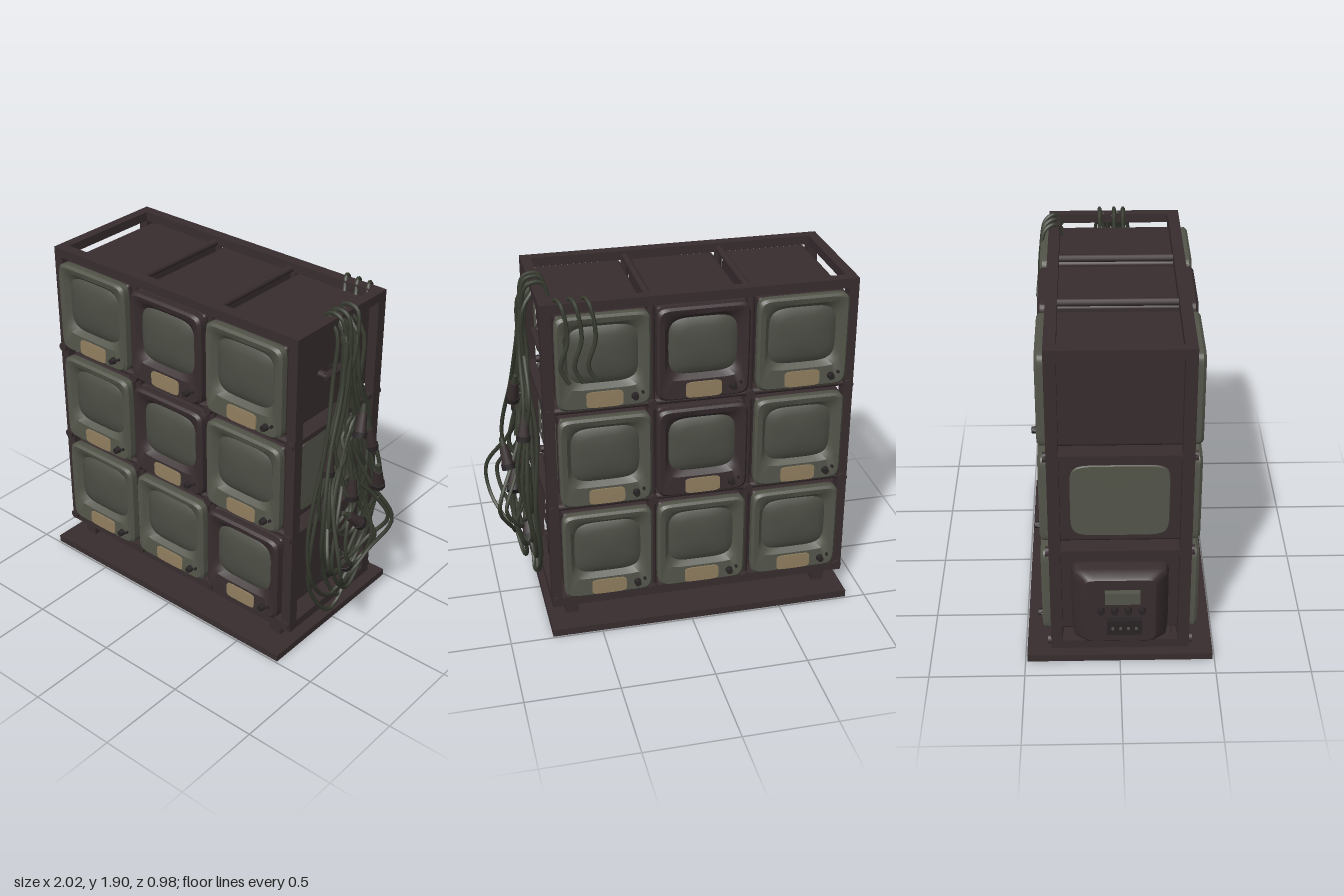
import * as THREE from 'three';
import { toCreasedNormals } from 'three/addons/utils/BufferGeometryUtils.js';
import { RoundedBoxGeometry } from 'three/addons/geometries/RoundedBoxGeometry.js';

const paint = (name, color) => {
  const m = new THREE.MeshStandardMaterial({ color });
  m.name = name;
  return m;
};

// Skin over superellipse rings [width, height, centreY, z, squareness], outer/back ring first
function loft(rings, seg = 48) {
  const pos = [], idx = [];
  const bend = (v, n) => Math.sign(v) * Math.abs(v) ** (2 / n);
  for (const [w, h, cy, z, n] of rings) {
    for (let i = 0; i < seg; i++) {
      const a = (i / seg) * Math.PI * 2;
      pos.push(bend(Math.cos(a), n) * w / 2, cy + bend(Math.sin(a), n) * h / 2, z);
    }
  }
  for (let r = 0; r < rings.length - 1; r++) {
    for (let i = 0; i < seg; i++) {
      const j = (i + 1) % seg, a = r * seg + i, b = r * seg + j;
      idx.push(a, b, b + seg, a, b + seg, a + seg);
    }
  }
  const g = new THREE.BufferGeometry();
  g.setAttribute('position', new THREE.Float32BufferAttribute(pos, 3));
  g.setIndex(idx);
  return toCreasedNormals(g, 0.6);
}

export function createModel() {
  const root = new THREE.Group();
  root.name = 'televisionWall';
  const dark = paint('dark brown metal', 0x382d2f);
  const green = paint('grey green casing', 0x53554a);
  const glass = paint('screen glass', 0x4c4e45);
  const tan = paint('tan label', 0x917f60);
  const cord = paint('cable green', 0x383c30);
  const black = paint('dark fittings', 0x292425);

  const add = (name, geo, mat, x = 0, y = 0, z = 0, parent = root) => {
    const m = new THREE.Mesh(geo, mat);
    m.name = name;
    m.position.set(x, y, z);
    parent.add(m);
    return m;
  };
  const box = (name, mat, x, y, z, w, h, d, parent) =>
    add(name, new THREE.BoxGeometry(w, h, d), mat, x, y, z, parent);

  // Base plate and feet
  box('basePlate', dark, -0.06, 0.02, 0, 1.66, 0.04, 0.98);
  for (const x of [-0.77, 0.64]) for (const z of [-0.31, 0.31])
    box('foot', dark, x, 0.075, z, 0.07, 0.07, 0.07);

  // Rack: corner posts, rails, slim dividers and joint bolts
  const pipe = (name, x, y, z, len, axis) => {
    const m = add(name, new THREE.CylinderGeometry(0.02, 0.02, len, 10), dark, x, y, z);
    if (axis === 'x') m.rotation.z = Math.PI / 2;
    if (axis === 'z') m.rotation.x = Math.PI / 2;
  };
  const bolt = new THREE.CylinderGeometry(0.025, 0.025, 0.035, 10).rotateX(Math.PI / 2);
  for (const z of [-0.33, 0.33]) {
    for (const x of [-0.873, 0.72]) box('cornerPost', dark, x, 0.985, z, 0.055, 1.77, 0.06);
    for (const y of [0.125, 1.845]) box('longRail', dark, -0.075, y, z, 1.64, 0.05, 0.06);
    for (const x of [-0.335, 0.185]) pipe('divider', x, 0.985, z, 1.72, 'y');
    for (const y of [0.71, 1.275]) pipe('crossRail', -0.075, y, z, 1.64, 'x');
    for (const x of [-0.873, -0.335, 0.185, 0.72]) for (const y of [0.14, 0.71, 1.275])
      add('jointBolt', bolt, dark, x, y, z * 1.09);
  }
  for (const x of [-0.873, 0.72]) {
    for (const y of [0.125, 1.845]) box('endRail', dark, x, y, 0, 0.055, 0.05, 0.66);
    for (const y of [0.71, 1.275]) box('endCrossRail', dark, x, y, 0, 0.045, 0.03, 0.74);
  }
  for (const x of [-0.335, 0.185]) for (const y of [0.125, 0.71, 1.275, 1.835])
    pipe('depthRail', x, y, 0, 0.66, 'z');

  // Television parts, shared by every set
  const bodyGeo = new RoundedBoxGeometry(0.47, 0.5, 0.71, 2, 0.02);
  const bezelGeo = loft([
    [0.47, 0.5, 0, 0.345, 12], [0.485, 0.51, 0, 0.355, 12], [0.485, 0.51, 0, 0.39, 12],
    [0.462, 0.488, 0, 0.404, 11], [0.405, 0.36, 0.035, 0.398, 7], [0.36, 0.31, 0.035, 0.37, 4.5],
  ]);
  const screenGeo = loft([
    [0.37, 0.32, 0.035, 0.366, 4.5], [0.34, 0.29, 0.035, 0.378, 4.2], [0.26, 0.22, 0.035, 0.39, 3.4],
    [0.14, 0.12, 0.035, 0.398, 2.6], [0, 0, 0.035, 0.4, 2],
  ]);
  const labelGeo = loft([[0.19, 0.088, 0, 0, 6], [0.19, 0.088, 0, 0.006, 6], [0, 0, 0, 0.007, 6]]);
  const knobGeo = new THREE.CylinderGeometry(0.016, 0.02, 0.035, 12).rotateX(Math.PI / 2);
  const buttonGeo = new THREE.CylinderGeometry(0.008, 0.008, 0.02, 8).rotateX(Math.PI / 2);
  const face = (x, y, back, mat) => {
    const g = new THREE.Group();
    g.name = back ? 'rearTelevisionFace' : 'frontTelevisionFace';
    g.position.set(x, y, 0);
    g.rotation.y = back ? Math.PI : 0;
    root.add(g);
    add('bezel', bezelGeo, mat, 0, 0, 0, g);
    add('screen', screenGeo, glass, 0, 0, 0, g);
    add('label', labelGeo, tan, 0, -0.2, 0.4, g);
    add('knob', knobGeo, black, 0.155, -0.198, 0.412, g);
    add('button', buttonGeo, black, 0.195, -0.18, 0.405, g);
  };
  const columns = [-0.6, -0.075, 0.44], rows = [0.425, 0.99, 1.555];
  rows.forEach((y, r) => columns.forEach((x, c) => {
    add('televisionBody', bodyGeo, dark, x, y, 0);
    const middleDark = c === 1 && r > 0;
    face(x, y, false, middleDark || (c === 2 && r === 0) ? dark : green);
    face(x, y, true, middleDark ? dark : green);
  }));

  // Green side panels on the middle row
  const panelGeo = loft([[0.5, 0.42, 0, 0, 7], [0.49, 0.41, 0, 0.008, 7], [0, 0, 0, 0.009, 7]]);
  add('sidePanel', panelGeo, green, 0.674, 0.99, 0).rotation.y = Math.PI / 2;
  add('sidePanel', panelGeo, green, -0.834, 0.99, 0).rotation.y = -Math.PI / 2;

  // Control box on the -x end, tapering outwards
  const control = new THREE.Group();
  control.name = 'controlBox';
  control.position.set(-0.87, 0.395, 0);
  control.rotation.y = -Math.PI / 2;
  root.add(control);
  add('controlCase', loft([[0.5, 0.44, 0, -0.03, 14], [0.48, 0.44, 0, 0.03, 14], [0.38, 0.41, 0, 0.085, 12],
    [0.36, 0.39, 0, 0.095, 12], [0, 0, 0, 0.095, 12]]), dark, 0, 0, 0, control);
  box('socketBlock', black, 0.02, -0.085, 0.105, 0.18, 0.09, 0.045, control);
  box('meter', green, 0.01, 0.1, 0.105, 0.18, 0.07, 0.04, control);
  for (let i = 0; i < 4; i++) {
    add('controlKnob', knobGeo, black, -0.1 + i * 0.07, 0.01, 0.105, control);
    add('socket', buttonGeo, green, -0.04 + i * 0.04, -0.085, 0.125, control);
  }

  // Cable hook bar and wall fittings on the +x end
  pipe('cableHook', 0.72, 1.55, -0.03, 0.25, 'z');
  for (const z of [-0.14, 0.08]) pipe('hookArm', 0.69, 1.55, z, 0.08, 'x');
  for (const y of [0.25, 0.4, 1.54]) box('sideFitting', black, 0.69, y, -0.02, 0.05, 0.05, 0.06);

  // Hanging cable loops: [top, bottom, half width, centre z, outer x]
  let seed = 7;
  const rand = () => (seed = (seed * 16807) % 2147483647) / 2147483647 - 0.5;
  const cable = (pts, closed = false) => {
    const curve = new THREE.CatmullRomCurve3(pts.map(p => new THREE.Vector3(...p)), closed);
    add('cable', new THREE.TubeGeometry(curve, 64, 0.011, 6, closed), cord);
  };
  const loops = [
    [1.87, 0.1, 0.25, 0.04, 0.79], [1.88, 0.2, 0.29, 0.05, 0.82], [1.86, 0.33, 0.23, 0.0, 0.86],
    [1.87, 0.42, 0.27, 0.07, 0.9], [1.86, 0.14, 0.18, -0.02, 0.8], [1.87, 0.62, 0.2, 0.02, 0.84],
    [1.3, 0.38, 0.24, 0.06, 0.99], [1.2, 0.25, 0.18, 0.0, 0.88], [1.1, 0.45, 0.28, 0.06, 0.94],
    [1.32, 0.55, 0.15, -0.06, 0.83], [0.95, 0.36, 0.14, -0.08, 0.9], [1.25, 0.7, 0.12, 0.1, 0.86],
  ];
  for (const [top, bottom, half, zc, out] of loops) {
    const long = top > 1.5, h = top - bottom, shift = rand() * 0.14;
    const at = (t, k, x) => [x + rand() * 0.04, top - t * h, zc * t + (long ? shift * (1 - t) : 0) + k * half + rand() * 0.04];
    const near = long ? 0.78 : 0.81, mid = (near + out) / 2;
    cable([
      [long ? 0.7 : 0.82, top, zc * 0.3 + shift],
      at(0.06, 0.1, near), at(0.25, 0.25, near + 0.02), at(0.45, 0.65, mid), at(0.7, 1, out), at(0.88, 0.75, out - 0.02),
      at(1, 0, mid), at(0.9, -0.7, mid), at(0.7, -0.95, out), at(0.45, -0.65, mid), at(0.25, -0.25, near + 0.02),
      at(0.06, -0.1, near),
    ], true);
  }

  // Loose ends over the top rail and down the rear
  for (const z of [-0.08, 0.0, 0.05])
    cable([[0.66, 1.8, z], [0.69, 1.88, z], [0.77, 1.87, z], [0.8, 1.6, z * 0.6], [0.8, 1.25, z * 2.4], [0.85, 0.95, z * 1.5]]);
  for (const x of [0.5, 0.57, 0.64])
    cable([[x + 0.04, 1.82, -0.29], [x + 0.02, 1.885, -0.33], [x, 1.86, -0.38], [x - 0.02, 1.7, -0.41],
      [x + 0.02, 1.55, -0.42], [x - 0.02, 1.47, -0.43]]);

  // Plugs: [x, y, z, tilt about x, tilt about z]
  const plugs = [[0.93, 0.94, -0.12, 0.3, -0.15], [0.88, 0.72, 0.01, 0.8, 0.2], [0.82, 1.13, 0.17, -0.1, 0],
    [0.83, 1.12, -0.17, 0.2, 0.1], [0.84, 0.89, -0.02, 0, 0], [0.82, 0.42, 0, 0.5, 0], [0.86, 1.28, -0.04, -0.3, 0.1]];
  for (const [x, y, z, rx, rz] of plugs) {
    const plug = new THREE.Group();
    plug.name = 'plug';
    plug.position.set(x, y, z);
    plug.rotation.set(rx, 0, rz);
    root.add(plug);
    add('plugBody', new THREE.CylinderGeometry(0.022, 0.033, 0.11, 10), dark, 0, 0, 0, plug);
    add('plugCollar', new THREE.CylinderGeometry(0.037, 0.037, 0.03, 10), black, 0, -0.06, 0, plug);
    add('plugTail', new THREE.CylinderGeometry(0.012, 0.018, 0.05, 8), cord, 0, 0.075, 0, plug);
  }
  return root;
}
